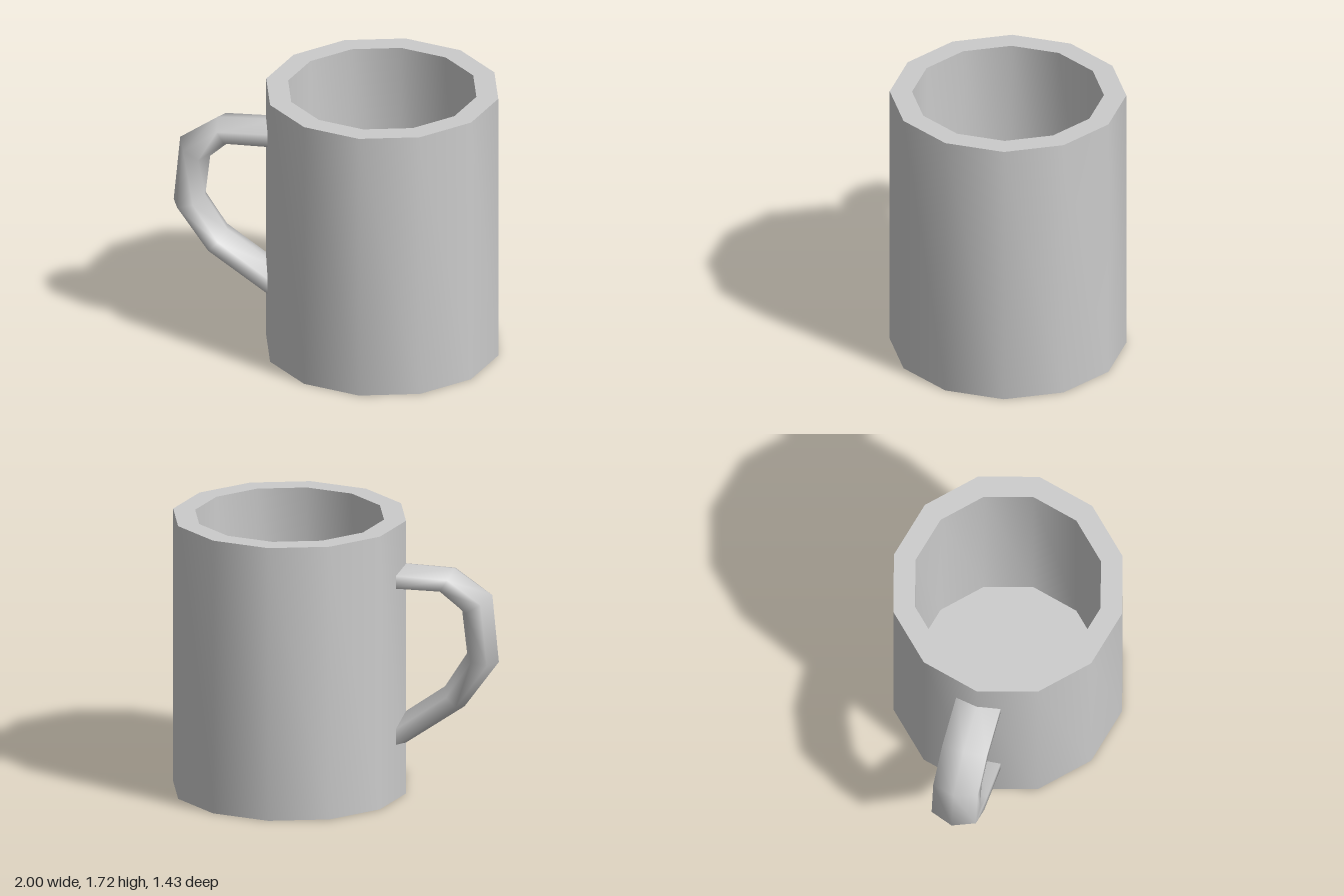
import * as THREE from 'three';
import { toCreasedNormals } from 'three/addons/utils/BufferGeometryUtils.js';

const CENTER_X = 0.285, RADIUS = 0.715, INNER = 0.58, HEIGHT = 1.72, FLOOR = 0.13;

// Twelve-sided hollow cup: base, outer wall, rim, inner wall and floor
function cupGeometry() {
  const profile = [[0, 0], [RADIUS, 0], [RADIUS, HEIGHT], [INNER, HEIGHT], [INNER, FLOOR], [0, FLOOR]]
    .map(([x, y]) => new THREE.Vector2(x, y));
  return toCreasedNormals(new THREE.LatheGeometry(profile, 12), 0.6);
}

// Six-sided swept handle; each section is [outer x, outer y, inner x, inner y]
function handleGeometry() {
  const sections = [
    [-0.36, 1.452, -0.36, 1.29],
    [-0.73, 1.435, -0.64, 1.29],
    [-0.96, 1.28, -0.775, 1.17],
    [-1.0, 0.86, -0.805, 0.905],
    [-0.79, 0.57, -0.67, 0.69],
    [-0.37, 0.28, -0.33, 0.45],
  ];
  const sides = 6, halfDepth = 0.16;
  const positions = [], indices = [];
  sections.forEach(([ox, oy, ix, iy], i) => {
    for (let j = 0; j < sides; j++) {
      const a = (j / sides) * Math.PI * 2;
      const t = (1 + Math.cos(a)) / 2;
      positions.push(ix + (ox - ix) * t, iy + (oy - iy) * t, Math.sin(a) * halfDepth);
      if (i === sections.length - 1) continue;
      const k = (j + 1) % sides;
      const p = i * sides + j, q = i * sides + k;
      indices.push(p, p + sides, q + sides, p, q + sides, q);
    }
  });
  const geometry = new THREE.BufferGeometry();
  geometry.setAttribute('position', new THREE.Float32BufferAttribute(positions, 3));
  geometry.setIndex(indices);
  geometry.computeVertexNormals();
  return geometry;
}

export function createModel() {
  const group = new THREE.Group();
  group.name = 'mug';
  const material = new THREE.MeshStandardMaterial({ color: 0xcccccc });

  const cup = new THREE.Mesh(cupGeometry(), material);
  cup.name = 'cup';
  cup.position.x = CENTER_X;

  // Both ends of the handle sink into the cup wall
  const handle = new THREE.Mesh(handleGeometry(), material);
  handle.name = 'handle';

  group.add(cup, handle);
  return group;
}
